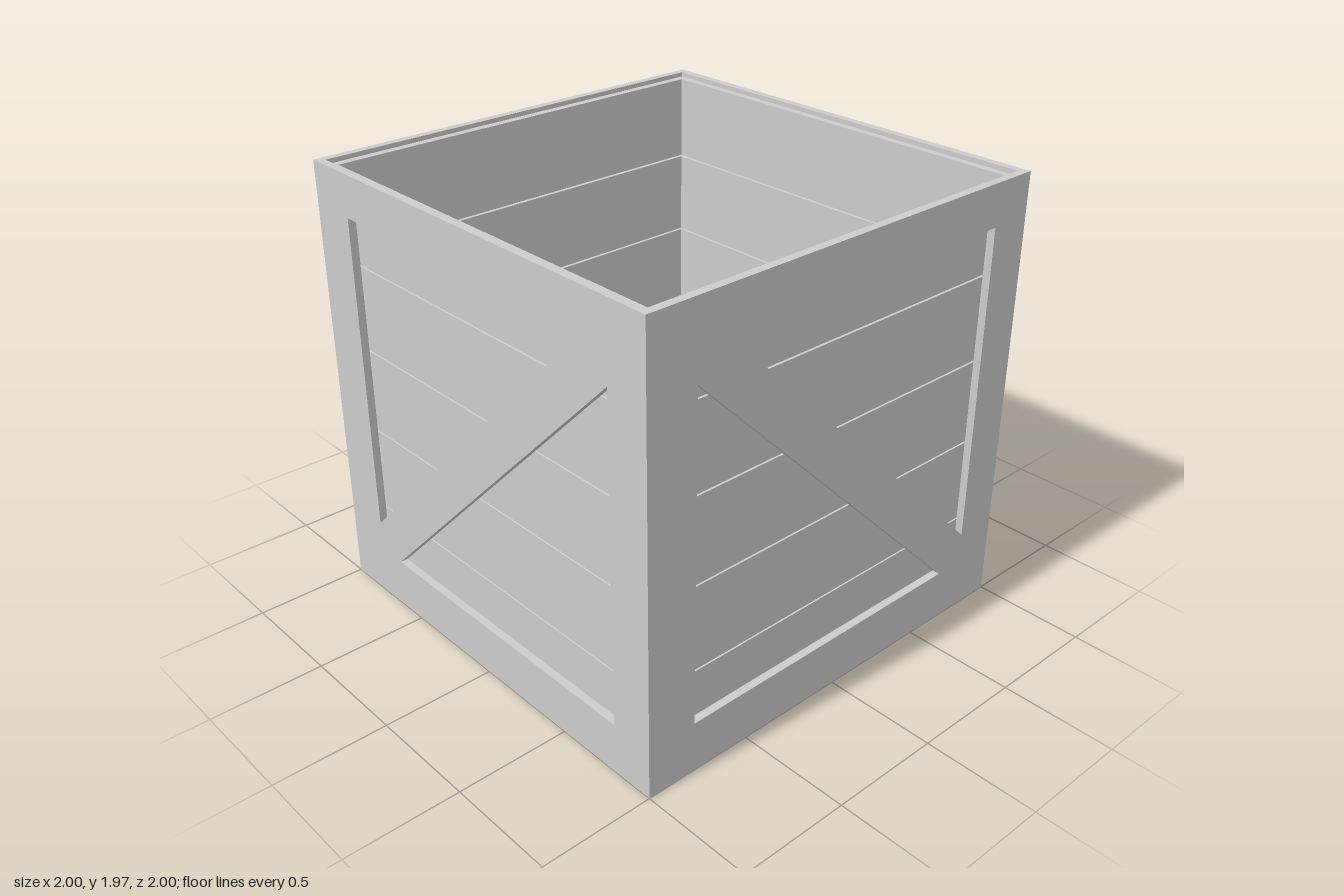
import * as THREE from 'three';

const material = new THREE.MeshStandardMaterial({ color: 0xcccccc, flatShading: true });
const T = 0.035;          // thickness of frames and of planks
const H = 1.965;          // crate height
const GAP = 0.008;

function add(parent, geometry, name) {
  const mesh = new THREE.Mesh(geometry, material);
  mesh.name = name;
  parent.add(mesh);
  return mesh;
}

// Plate with two triangular openings that leave a border and a diagonal brace
function braceFrame(halfWidth, y0, y1, triangles) {
  const path = (pts) => pts.map(([x, y]) => new THREE.Vector2(x, y));
  const shape = new THREE.Shape(path([
    [-halfWidth, y0], [halfWidth, y0], [halfWidth, y1], [-halfWidth, y1]]));
  for (const t of triangles) shape.holes.push(new THREE.Path(path(t)));
  return new THREE.ExtrudeGeometry(shape, { depth: T, bevelEnabled: false });
}

// Openings of a wall; the flipped version turns the brace the other way
const wallHoles = [
  [[-0.635, 1.78], [0.805, 1.78], [0.805, 0.365]],
  [[-0.775, 1.645], [0.67, 0.225], [-0.775, 0.225]],
];
const flippedHoles = wallHoles.map((t) => t.map(([x, y]) => [x, 2.005 - y]));
const floorHoles = [
  [[-0.635, 0.805], [0.805, 0.805], [0.805, -0.635]],
  [[-0.775, 0.67], [0.67, -0.775], [-0.775, -0.775]],
];

// One wall: outer frame with brace, and five horizontal planks behind it
function wall(name, isSide) {
  const group = new THREE.Group();
  group.name = name;
  const frame = add(group,
    braceFrame(isSide ? 1 - T : 1, 0, H, isSide ? flippedHoles : wallHoles), 'wallFrame');
  frame.position.z = 1 - T;

  const seams = [2 * T, 0.434, 0.812, 1.19, 1.568, 1.945];
  const width = 2 * (1 - (isSide ? 2 * T : T));
  for (let i = 0; i < 5; i++) {
    const bottom = seams[i] + (i > 0 ? GAP / 2 : 0);
    const top = seams[i + 1] - (i < 4 ? GAP / 2 : 0);
    const plank = add(group, new THREE.BoxGeometry(width, top - bottom, T), 'wallPlank');
    plank.position.set(0, (bottom + top) / 2, 1 - 1.5 * T);
  }
  return group;
}

export function createModel() {
  const crate = new THREE.Group();
  crate.name = 'crate';

  // Four walls around the vertical axis
  ['frontWall', 'leftWall', 'backWall', 'rightWall'].forEach((name, i) => {
    const w = wall(name, i % 2 === 1);
    w.rotation.y = i * Math.PI / 2;
    crate.add(w);
  });

  // Floor: braced frame underneath, planks running left to right on top
  const floor = new THREE.Group();
  floor.name = 'floor';
  const inner = 1 - T;
  const base = add(floor, braceFrame(inner, -inner, inner, floorHoles), 'floorFrame');
  base.rotation.x = -Math.PI / 2;
  const pitch = 2 * inner / 5;
  for (let i = 0; i < 5; i++) {
    const plank = add(floor, new THREE.BoxGeometry(2 * inner, T, pitch - GAP), 'floorPlank');
    plank.position.set(0, 1.5 * T, (i - 2) * pitch);
  }
  crate.add(floor);

  return crate;
}
